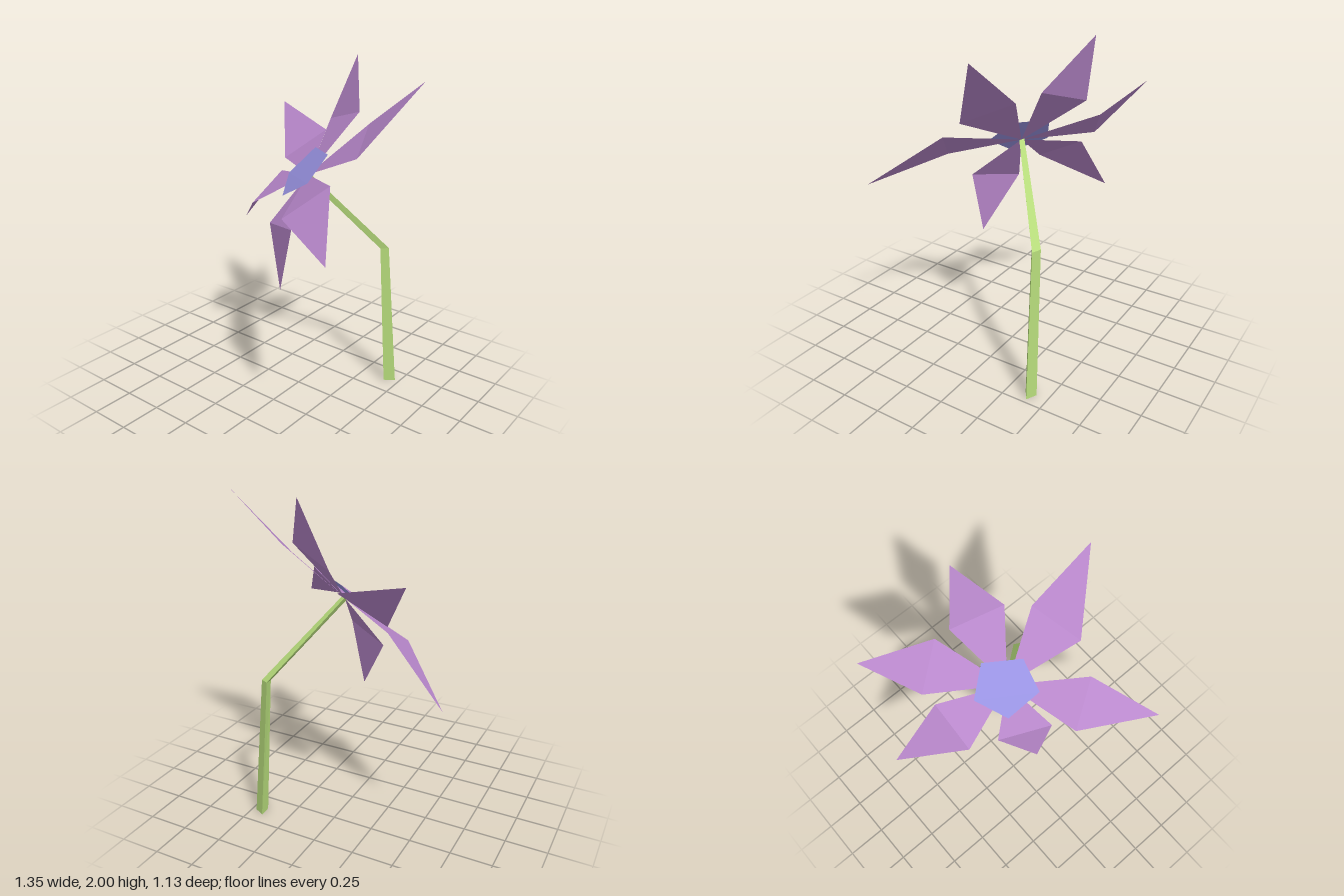
import * as THREE from 'three';

const petalMat = new THREE.MeshStandardMaterial({ color: 0xb988cc, side: THREE.DoubleSide, flatShading: true });
petalMat.name = 'petal purple';
const discMat = new THREE.MeshStandardMaterial({ color: 0x9a94e4, side: THREE.DoubleSide, flatShading: true });
discMat.name = 'centre blue';
const stemMat = new THREE.MeshStandardMaterial({ color: 0xb5da7a, flatShading: true });
stemMat.name = 'stem green';

// Faceted mesh from corner points and triangles
function facets(name, points, tris, material) {
  const geo = new THREE.BufferGeometry();
  geo.setAttribute('position', new THREE.Float32BufferAttribute(tris.flat().flatMap((i) => points[i]), 3));
  geo.computeVertexNormals();
  const mesh = new THREE.Mesh(geo, material);
  mesh.name = name;
  return mesh;
}

export function createModel() {
  const flower = new THREE.Group();
  flower.name = 'flower';
  const heart = [0.015, 1.36, -0.07];

  // Petals: each a kite creased across its widest point (side, side, tip)
  const petals = [
    [[0.202, 1.71, -0.305], [-0.08, 1.62, -0.42], [0.04, 2, -0.517]],
    [[0.427, 1.545, 0.052], [0.32, 1.67, -0.225], [0.673, 1.943, -0.192]],
    [[0.155, 1.235, 0.347], [0.372, 1.425, 0.21], [0.604, 1.15, 0.567]],
    [[-0.17, 1.06, 0.06], [0.11, 1.12, 0.208], [0.02, 0.727, 0.2]],
    [[-0.342, 1.28, -0.267], [-0.342, 1.138, 0.018], [-0.673, 0.897, -0.282]],
    [[-0.15, 1.53, -0.47], [-0.37, 1.343, -0.335], [-0.563, 1.646, -0.567]],
  ];
  petals.forEach((p, i) => {
    flower.add(facets('petal' + (i + 1), [heart, ...p], [[0, 1, 2], [2, 1, 3]], petalMat));
  });

  // Flat five-sided centre, just in front of the petals
  const rim = [
    [-0.174, 1.325, -0.13], [-0.08, 1.243, 0.05], [0.121, 1.36, 0.077],
    [0.142, 1.495, -0.085], [-0.042, 1.485, -0.216],
  ];
  flower.add(facets('flowerCentre', rim, [[0, 1, 2], [0, 2, 3], [0, 3, 4]], discMat));

  // Bent three-sided stem: rings at the foot, the bend and the flower
  const rings = [
    [0.474, 0, -0.395], [0.412, 0, -0.427], [0.414, 0, -0.355],
    [0.395, 0.9, -0.375], [0.346, 0.903, -0.4], [0.353, 0.895, -0.347],
    [0.038, 1.363, -0.07], [0.008, 1.367, -0.085], [0.012, 1.345, -0.056],
  ];
  const tris = [[0, 2, 1], [6, 7, 8]];
  for (let r = 0; r < 6; r += 3) {
    for (let i = 0; i < 3; i++) {
      const a = r + i, b = r + (i + 1) % 3;
      tris.push([a, b, b + 3], [a, b + 3, a + 3]);
    }
  }
  flower.add(facets('stem', rings, tris, stemMat));
  return flower;
}
